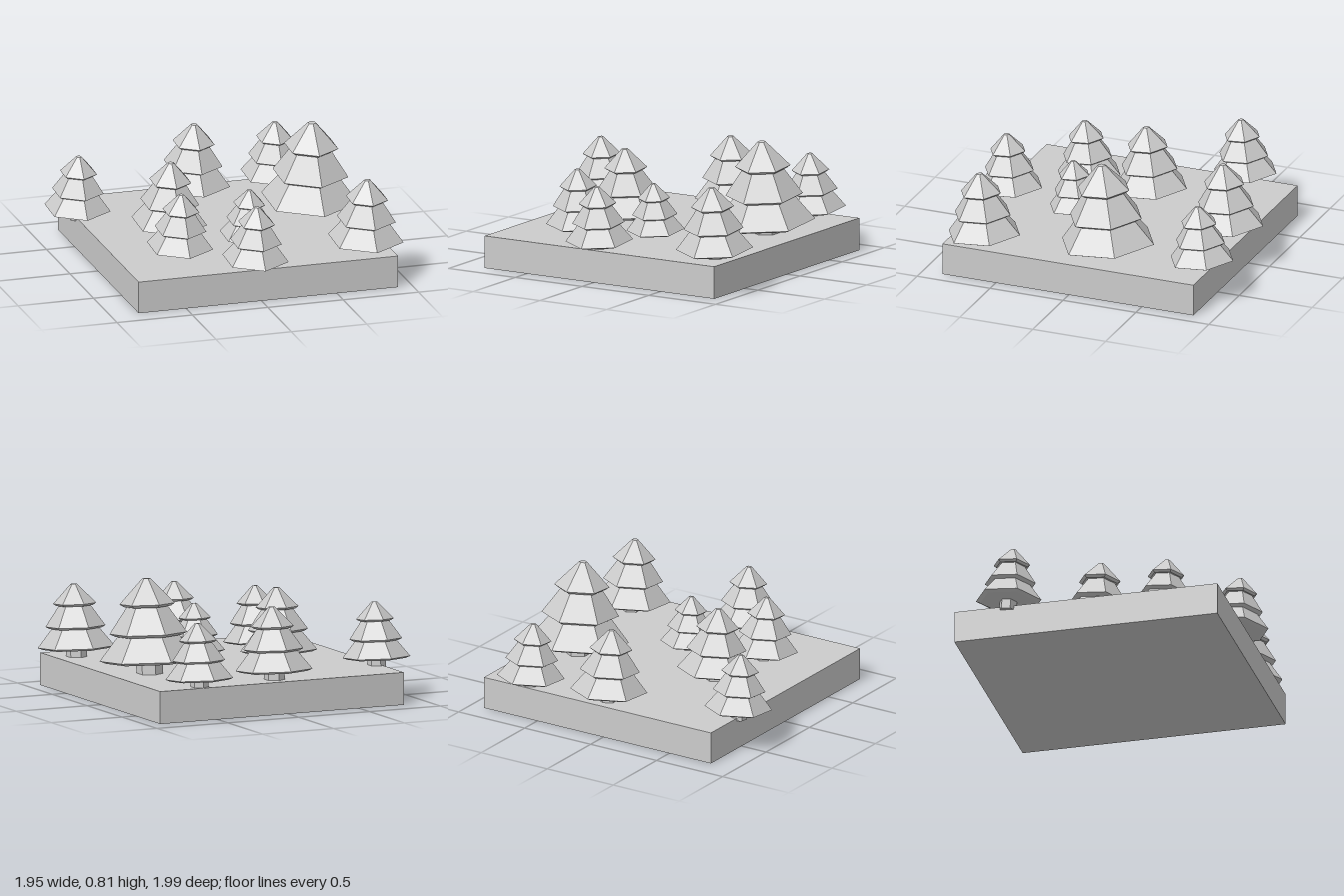
import * as THREE from 'three';

const GROUND = 0.185; // trunks start slightly inside the slab
const LEAN = 0.087;   // every tree leans a little to the front

// x, z of the lowest tier's centre, scale
const TREES = [
  [-0.793, -0.505, 0.68],
  [0.04, -0.73, 0.775],
  [0.595, -0.785, 0.68],
  [0.64, -0.16, 1],
  [-0.325, -0.055, 0.775],
  [-0.395, 0.4, 0.68],
  [0.095, 0.28, 0.585],
  [-0.012, 0.777, 0.68],
  [0.763, 0.637, 0.775],
];

// Half outline of the foliage: three skirts with a bevelled lower rim
const FOLIAGE = [
  [0, 0.09], [0.272, 0.09], [0.316, 0.107],
  [0.195, 0.26], [0.212, 0.26], [0.246, 0.278],
  [0.13, 0.447], [0.15, 0.447], [0.176, 0.465],
  [0.026, 0.625], [0, 0.625],
].map(([r, y]) => new THREE.Vector2(r, y));

export function createModel() {
  const model = new THREE.Group();
  model.name = 'forestTile';
  const material = new THREE.MeshStandardMaterial({ color: 0xcccccc, flatShading: true });

  const addMesh = (parent, name, geometry) => {
    const mesh = new THREE.Mesh(geometry, material);
    mesh.name = name;
    parent.add(mesh);
    return mesh;
  };

  // Ground slab
  const slab = addMesh(model, 'groundSlab', new THREE.BoxGeometry(1.72, 0.208, 1.72));
  slab.position.set(0.045, 0.104, 0.006);

  // Six-sided trees sharing the same geometry
  const foliageGeometry = new THREE.LatheGeometry(FOLIAGE, 6);
  const trunkGeometry = new THREE.CylinderGeometry(0.085, 0.085, 0.12, 6);
  trunkGeometry.translate(0, 0.06, 0);

  TREES.forEach(([x, z, scale], i) => {
    const tree = new THREE.Group();
    tree.name = `tree${i + 1}`;
    addMesh(tree, 'trunk', trunkGeometry);
    addMesh(tree, 'foliage', foliageGeometry);
    tree.position.set(x, GROUND, z - 0.009 * scale);
    tree.rotation.x = LEAN;
    tree.scale.setScalar(scale);
    model.add(tree);
  });

  return model;
}
